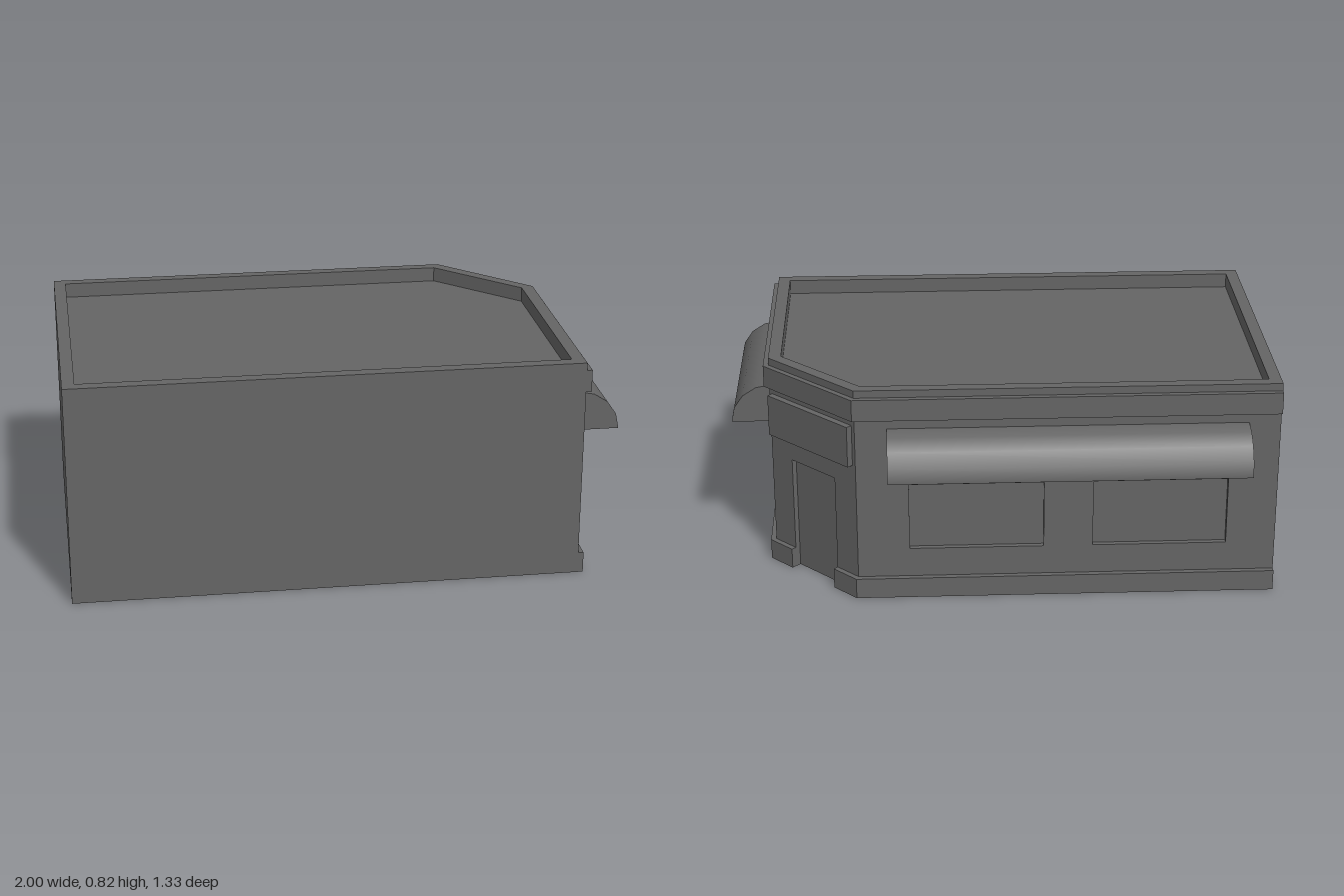
import * as THREE from 'three';

const MAT = new THREE.MeshStandardMaterial({ color: 0x656565, side: THREE.DoubleSide });
const H = 0.82, ROOF = 0.765, DEPTH = 0.02;
const SILL = 0.19, HEAD = 0.448;

// Plan corners as [x, z], each wall running to the next corner
const PLAN = [[0.846, 0.665], [0.846, -0.19], [0.53, -0.51], [-1, -0.51], [-1, 0.665]];
const INSET = [[0.8, 0.62], [0.8, -0.175], [0.508, -0.468], [-0.955, -0.468], [-0.955, 0.62]];
// Outer edge of the bands, along the three street sides
const BAND = [[0.866, 0.665], [0.866, -0.198], [0.538, -0.531], [-1, -0.531]];

function mesh(name, geometry) {
  const m = new THREE.Mesh(geometry, MAT);
  m.name = name;
  return m;
}

// Strip of flat quads between two polylines of [x, y, z]
function ribbon(a, b, closed = false) {
  const pos = [];
  const n = a.length;
  for (let i = 0; i < (closed ? n : n - 1); i++) {
    const j = (i + 1) % n;
    pos.push(...a[i], ...a[j], ...b[j], ...a[i], ...b[j], ...b[i]);
  }
  const g = new THREE.BufferGeometry();
  g.setAttribute('position', new THREE.Float32BufferAttribute(pos, 3));
  g.computeVertexNormals();
  return g;
}

const poly = pts => pts.map(p => new THREE.Vector2(p[0], p[1]));
const at = (plan, y) => plan.map(([x, z]) => [x, y, z]);
const rect = (u0, u1) => [[u0, SILL], [u1, SILL], [u1, HEAD], [u0, HEAD]];

// Raised band against the walls, with end caps and an optional underside
function band(name, inner, outer, y0, y1, underside) {
  const group = new THREE.Group();
  group.name = name;
  const face = [inner[0], ...outer, inner[inner.length - 1]];
  group.add(mesh(name + 'Face', ribbon(at(face, y0), at(face, y1))));
  group.add(mesh(name + 'Top', ribbon(at(outer, y1), at(inner, y1))));
  if (underside) group.add(mesh(name + 'Underside', ribbon(at(inner, y0), at(outer, y0))));
  return group;
}

// Wall in its own frame: x along the wall, y up, z outward
function wall(name, i, windows = [], door = null) {
  const [ax, az] = PLAN[i], [bx, bz] = PLAN[(i + 1) % PLAN.length];
  const length = Math.hypot(bx - ax, bz - az);
  const group = new THREE.Group();
  group.name = name;
  group.position.set(ax, 0, az);
  group.rotation.y = Math.atan2(az - bz, bx - ax);

  const notch = door ? [[door[0], 0], [door[0], door[2]], [door[1], door[2]], [door[1], 0]] : [];
  const shape = new THREE.Shape(poly([[0, 0], ...notch, [length, 0], [length, H], [0, H]]));
  for (const [u0, u1] of windows) shape.holes.push(new THREE.Path(poly(rect(u0, u1))));
  group.add(mesh(name + 'Surface', new THREE.ShapeGeometry(shape)));

  // Recessed panes with their reveals
  const recess = (label, outline, closed) => {
    const shifted = z => outline.map(([u, y]) => [u, y, z]);
    group.add(mesh(label + 'Reveal', ribbon(shifted(0), shifted(-DEPTH), closed)));
    const pane = new THREE.ShapeGeometry(new THREE.Shape(poly(outline)));
    group.add(mesh(label + 'Panel', pane.translate(0, 0, -DEPTH)));
  };
  for (const [u0, u1] of windows) recess('window', rect(u0, u1), true);
  if (door) recess('door', notch, false);
  return group;
}

// Quarter-round awning between u0 and u1 on a wall
function awning(u0, u1) {
  const group = new THREE.Group();
  group.name = 'awning';
  const reach = 0.154, rise = 0.148, y0 = 0.523, steps = 4;
  const curve = [];
  for (let i = 0; i <= steps; i++) {
    const t = (i / steps) * Math.PI / 2;
    curve.push([reach * Math.sin(t), y0 + rise * Math.cos(t)]);
  }
  // Curved canopy with smooth normals
  const along = u => curve.map(([z, y]) => [u, y, z]);
  const canopy = ribbon(along(u0), along(u1));
  const p = canopy.attributes.position;
  for (let i = 0; i < p.count; i++) {
    canopy.attributes.normal.setXYZ(i, 0, (p.getY(i) - y0) / rise, p.getZ(i) / reach);
  }
  group.add(mesh('canopy', canopy));
  // End caps and flat underside
  for (const u of [u0, u1]) {
    const cap = new THREE.ShapeGeometry(new THREE.Shape(poly([[0, y0], ...curve])));
    group.add(mesh('awningEnd', cap.rotateY(-Math.PI / 2).translate(u, 0, 0)));
  }
  group.add(mesh('awningUnderside', ribbon([[u0, y0, 0], [u1, y0, 0]], [[u0, y0, reach], [u1, y0, reach]])));
  return group;
}

export function createModel() {
  const model = new THREE.Group();
  model.name = 'cornerShop';

  // Walls
  const side = wall('sideWall', 0, [[0.183, 0.673]]);
  side.add(awning(0.1, 0.755));
  const doorStart = 0.109, doorEnd = 0.338;
  const corner = wall('cornerWall', 1, [], [doorStart, doorEnd, 0.443]);
  const back = wall('backWall', 2, [[0.19, 0.68], [0.86, 1.35]]);
  back.add(awning(0.115, 1.415));
  model.add(side, corner, back, wall('leftWall', 3), wall('frontWall', 4));

  // Sign board over the door
  const sign = new THREE.BoxGeometry(0.421, 0.157, 0.024);
  corner.add(mesh('signBoard', sign.translate(0.2245, 0.6035, 0.012)));

  // Cornice band
  model.add(band('cornice', PLAN.slice(0, 4), BAND, 0.71, 0.792, true));

  // Base band, open below and broken by the doorway
  corner.updateMatrix();
  const onCorner = (u, z) => {
    const q = new THREE.Vector3(u, 0, z).applyMatrix4(corner.matrix);
    return [q.x, q.z];
  };
  model.add(band('baseSide', [PLAN[0], PLAN[1], onCorner(doorStart, 0)],
    [BAND[0], BAND[1], onCorner(doorStart, DEPTH)], 0, 0.078, false));
  model.add(band('baseBack', [onCorner(doorEnd, 0), PLAN[2], PLAN[3]],
    [onCorner(doorEnd, DEPTH), BAND[2], BAND[3]], 0, 0.078, false));

  // Parapet rim and sunken roof
  model.add(mesh('parapetTop', ribbon(at(PLAN, H), at(INSET, H), true)));
  model.add(mesh('parapetInside', ribbon(at(INSET, H), at(INSET, ROOF), true)));
  const roof = new THREE.ShapeGeometry(new THREE.Shape(poly(INSET.map(([x, z]) => [x, -z]))));
  model.add(mesh('roof', roof.rotateX(-Math.PI / 2).translate(0, ROOF, 0)));

  return model;
}
